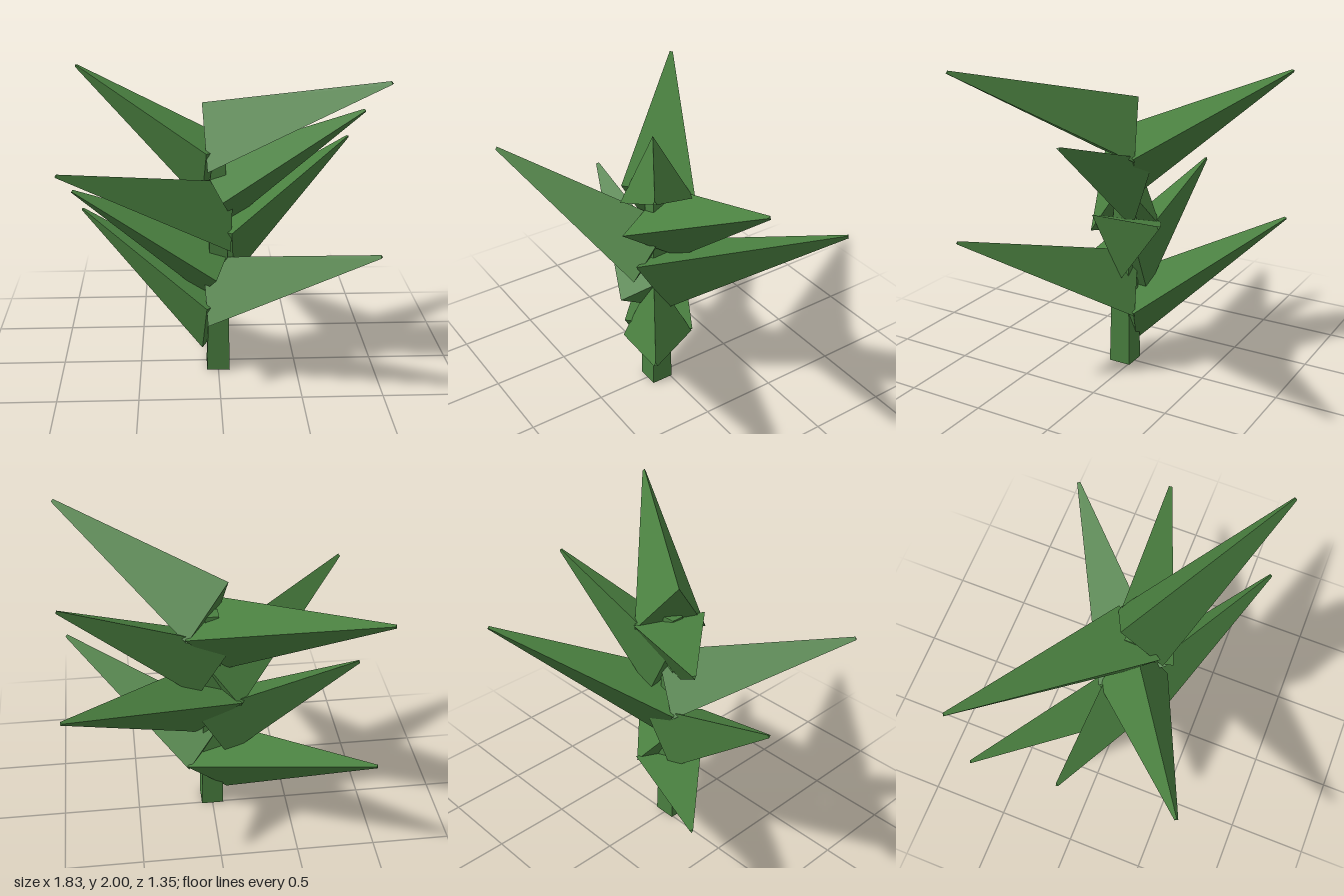
import * as THREE from 'three';

const green = new THREE.MeshStandardMaterial({ color: 0x4a8040 });
green.name = 'leafGreen';

const STEM_Z = 0.063;

// Cylinder with hard facets
function facetedCylinder(rTop, rBottom, height, sides) {
  const geo = new THREE.CylinderGeometry(rTop, rBottom, height, sides).toNonIndexed();
  geo.computeVertexNormals();
  return geo;
}

// Three-sided spike running from the stem to its tip
function makeLeaf(base, tip) {
  const axis = tip.clone().sub(base);
  const leaf = new THREE.Mesh(facetedCylinder(0.012, 0.255, axis.length(), 3), green);
  leaf.position.copy(base).addScaledVector(axis, 0.5);
  leaf.quaternion.setFromUnitVectors(new THREE.Vector3(0, 1, 0), axis.normalize());
  return leaf;
}

export function createModel() {
  const model = new THREE.Group();
  model.name = 'plant';

  // Square tapering stem
  const stemHeight = 1.5;
  const stemGeo = facetedCylinder(0.06, 0.103, stemHeight, 4);
  stemGeo.rotateY(Math.PI / 4);
  const stem = new THREE.Mesh(stemGeo, green);
  stem.name = 'stem';
  stem.position.set(0, stemHeight / 2, STEM_Z);
  model.add(stem);

  // Leaves alternate sides while their depth cycles back, front, middle
  const tipZ = [-0.664, 0.664, -0.062];
  for (let i = 0; i < 8; i++) {
    const y = 0.34 + i / 6;
    const side = i % 2 ? 1 : -1;
    const leaf = makeLeaf(
      new THREE.Vector3(0, y, STEM_Z),
      new THREE.Vector3(side * 0.906, y + 0.487, tipZ[i % 3])
    );
    leaf.name = `leaf${i + 1}`;
    model.add(leaf);
  }
  return model;
}
